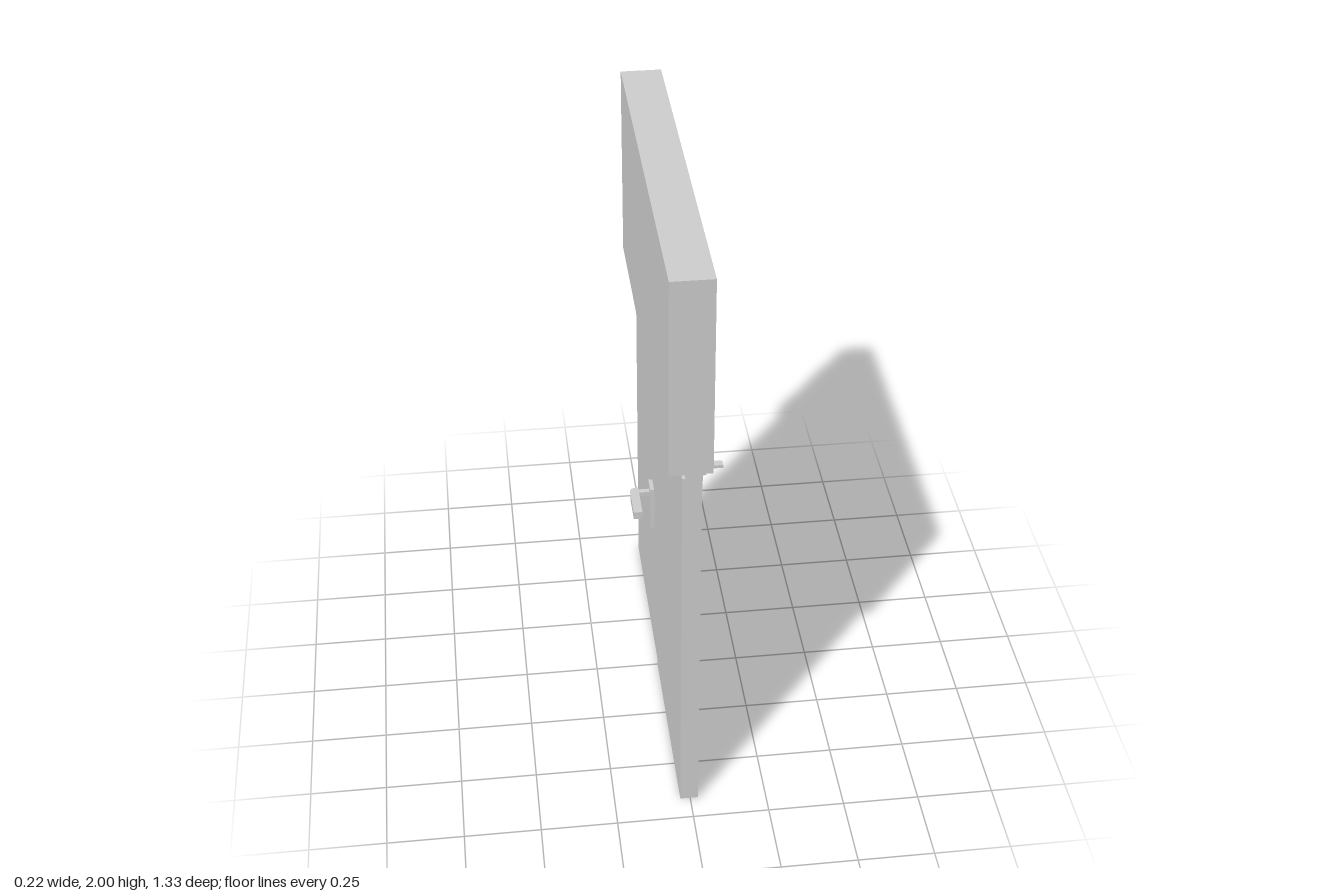
import * as THREE from 'three';

const material = new THREE.MeshStandardMaterial({ color: 0xcccccc, flatShading: true });

// Box given by its lower and upper limits on each axis
function block(parent, name, [x0, x1], [y0, y1], [z0, z1]) {
  const mesh = new THREE.Mesh(new THREE.BoxGeometry(x1 - x0, y1 - y0, z1 - z0), material);
  mesh.position.set((x0 + x1) / 2, (y0 + y1) / 2, (z0 + z1) / 2);
  mesh.name = name;
  parent.add(mesh);
  return mesh;
}

// Lever handle on a long plate; local x points out of the door, lever runs to -z
function leverHandle(name) {
  const handle = new THREE.Group();
  handle.name = name;
  block(handle, 'handlePlate', [0, 0.004], [0.535, 0.7], [-0.03, 0.03]);
  block(handle, 'handleStem', [0.004, 0.05], [0.66, 0.676], [-0.008, 0.01]);

  // Grip outline in plan, with a rounded outer corner at the stem
  const s = new THREE.Shape();
  s.moveTo(0.041, -0.01);
  s.lineTo(0.051, -0.01);
  s.quadraticCurveTo(0.071, -0.01, 0.071, 0.014);
  s.lineTo(0.071, 0.128);
  s.lineTo(0.041, 0.128);
  const geometry = new THREE.ExtrudeGeometry(s, { depth: 0.028, bevelEnabled: false, curveSegments: 5 });
  geometry.rotateX(-Math.PI / 2);
  const grip = new THREE.Mesh(geometry, material);
  grip.name = 'handleGrip';
  grip.position.y = 0.656;
  handle.add(grip);
  return handle;
}

export function createModel() {
  const model = new THREE.Group();
  model.name = 'doubleDoor';

  // Solid panel over the doors
  block(model, 'overPanel', [-0.073, 0.06], [1.337, 2], [-0.665, 0.665]);

  // Leaf towards +z: core, meeting stile and overlapping back skin
  const wideLeaf = new THREE.Group();
  wideLeaf.name = 'frontLeaf';
  block(wideLeaf, 'leafCore', [-0.023, 0.026], [0, 1.337], [0.08, 0.665]);
  block(wideLeaf, 'meetingStile', [-0.023, 0.026], [0, 1.323], [0.001, 0.08]);
  block(wideLeaf, 'backSkin', [-0.033, -0.023], [0, 1.323], [0, 0.665]);
  block(wideLeaf, 'headStrip', [0.026, 0.028], [1.275, 1.337], [0.08, 0.665]);
  model.add(wideLeaf);

  // Leaf towards -z
  const rearLeaf = new THREE.Group();
  rearLeaf.name = 'rearLeaf';
  block(rearLeaf, 'leafCore', [-0.03, 0.024], [0, 1.337], [-0.665, -0.002]);
  block(rearLeaf, 'headStrip', [0.024, 0.027], [1.285, 1.337], [-0.665, -0.002]);
  model.add(rearLeaf);

  // Handles on both faces, turned half round from each other
  const outer = leverHandle('leftHandle');
  outer.position.set(0.026, 0, -0.14);
  const inner = leverHandle('rightHandle');
  inner.rotation.y = Math.PI;
  inner.position.set(-0.033, 0, -0.14);
  inner.position.x = -0.04;
  block(inner, 'plateBacking', [-0.01, 0], [0.535, 0.7], [-0.03, 0.03]);
  model.add(outer, inner);

  // Door closer: body, spindle and folding arm
  const closer = new THREE.Group();
  closer.name = 'doorCloser';
  block(closer, 'closerBody', [0.026, 0.05], [1.27, 1.325], [0.463, 0.583]);
  block(closer, 'closerSpindle', [0.034, 0.046], [1.252, 1.27], [0.467, 0.481]);
  const arm = block(closer, 'closerArm', [-0.037, 0.037], [1.25, 1.256], [-0.006, 0.006]);
  arm.position.set(0.069, 1.255, 0.492);
  arm.rotation.y = -0.6;
  block(closer, 'closerLink', [0.03, 0.109], [1.253, 1.264], [0.507, 0.53]);
  model.add(closer);

  return model;
}
